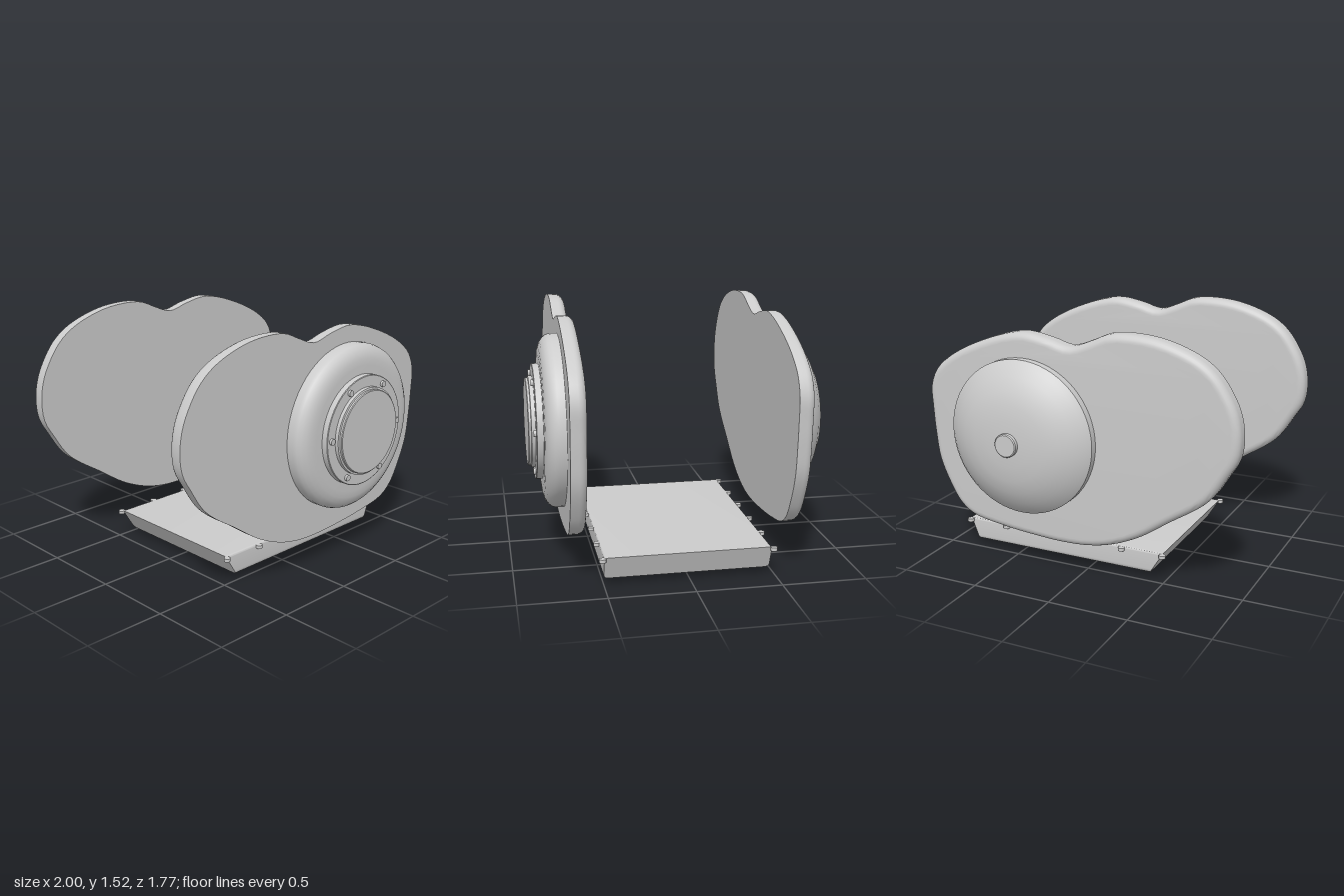
import * as THREE from 'three';
import { mergeVertices, toCreasedNormals } from 'three/addons/utils/BufferGeometryUtils.js';

const metal = new THREE.MeshStandardMaterial({ color: 0xcccccc });
metal.name = 'light grey metal';

// Axis of the round covers
const CX = 0.33, CY = 0.86;

function add(parent, name, geometry, x = 0, y = 0, z = 0) {
  const mesh = new THREE.Mesh(geometry, metal);
  mesh.name = name;
  mesh.position.set(x, y, z);
  parent.add(mesh);
  return mesh;
}

// Lathe from [radius, height] pairs, ordered upwards, turned so its axis is +z
function turned(profile, segments = 64) {
  const pts = profile.map(([r, h]) => new THREE.Vector2(r, h));
  const g = new THREE.LatheGeometry(pts, segments).rotateX(Math.PI / 2);
  g.deleteAttribute('normal');
  g.deleteAttribute('uv');
  return toCreasedNormals(mergeVertices(g), 0.6);
}

// Two-lobed outline, anticlockwise from the front
const OUTLINE = [
  [-1, 1.0], [-0.985, 0.88], [-0.93, 0.78], [-0.82, 0.62], [-0.58, 0.45], [-0.4, 0.33],
  [-0.23, 0.255], [-0.08, 0.22], [0.1, 0.21], [0.3, 0.22], [0.5, 0.24], [0.73, 0.285],
  [0.82, 0.35], [0.89, 0.46], [0.96, 0.625], [0.985, 0.8], [0.995, 0.95], [0.997, 1.09],
  [0.95, 1.2], [0.86, 1.28], [0.75, 1.345], [0.6, 1.41], [0.45, 1.458], [0.33, 1.476],
  [0.17, 1.452], [0.035, 1.42], [-0.1, 1.465], [-0.2, 1.508], [-0.31, 1.522], [-0.52, 1.505],
  [-0.74, 1.43], [-0.85, 1.35], [-0.93, 1.24], [-0.98, 1.13],
];

// Plate with a flat front at z = 0 and a rounded rim at the back
function plateGeometry(depth = 0.095, round = 0.045) {
  const curve = new THREE.CatmullRomCurve3(OUTLINE.map(([x, y]) => new THREE.Vector3(x, y, 0)), true);
  const n = 140, pos = [], idx = [];
  const rim = curve.getSpacedPoints(n).slice(0, n);
  const normals = rim.map((p, i) => {
    const t = rim[(i + 1) % n].clone().sub(rim[(i + n - 1) % n]).normalize();
    return new THREE.Vector2(t.y, -t.x);
  });
  const rings = [[0, 0]];
  for (let k = 0; k <= 6; k++) {
    const a = (k / 6) * Math.PI / 2;
    rings.push([round * (1 - Math.cos(a)), -(depth - round) - round * Math.sin(a)]);
  }
  const ringPoints = (inset) => rim.map((p, i) =>
    new THREE.Vector2(p.x - normals[i].x * inset, p.y - normals[i].y * inset));
  rings.forEach(([inset, z]) => ringPoints(inset).forEach((p) => pos.push(p.x, p.y, z)));
  for (let k = 0; k < rings.length - 1; k++) {
    for (let i = 0; i < n; i++) {
      const j = (i + 1) % n, a = k * n + i, b = k * n + j;
      idx.push(a, a + n, b, b, a + n, b + n);
    }
  }
  // Flat front and back caps
  const last = (rings.length - 1) * n;
  THREE.ShapeUtils.triangulateShape(ringPoints(0), []).forEach(([a, b, c]) => idx.push(a, b, c));
  THREE.ShapeUtils.triangulateShape(ringPoints(round), []).forEach(([a, b, c]) =>
    idx.push(last + a, last + c, last + b));
  const g = new THREE.BufferGeometry();
  g.setAttribute('position', new THREE.Float32BufferAttribute(pos, 3));
  g.setIndex(idx);
  return toCreasedNormals(g, 0.7);
}

// Tray: rounded section across z, tapering in x towards the bottom
function trayGeometry() {
  const z0 = -0.475, z1 = 0.5, y0 = 0.038, y1 = 0.18, r = 0.028;
  const s = new THREE.Shape();
  s.moveTo(-z1 + r, y0);
  s.lineTo(-z0 - r, y0);
  s.quadraticCurveTo(-z0, y0, -z0, y0 + r);
  s.lineTo(-z0, y1 - r / 2);
  s.quadraticCurveTo(-z0, y1, -z0 - r / 2, y1);
  s.lineTo(-z1 + r / 2, y1);
  s.quadraticCurveTo(-z1, y1, -z1, y1 - r / 2);
  s.lineTo(-z1, y0 + r);
  s.quadraticCurveTo(-z1, y0, -z1 + r, y0);
  const g = new THREE.ExtrudeGeometry(s, { depth: 1, bevelEnabled: false, curveSegments: 6 });
  g.rotateY(Math.PI / 2);
  const p = g.attributes.position;
  for (let i = 0; i < p.count; i++) {
    const t = (p.getY(i) - y0) / (y1 - y0);
    const left = THREE.MathUtils.lerp(-0.4, -0.487, t);
    const right = THREE.MathUtils.lerp(0.805, 0.86, t);
    p.setX(i, THREE.MathUtils.lerp(left, right, p.getX(i)));
  }
  return toCreasedNormals(g, 0.6);
}

export function createModel() {
  const model = new THREE.Group();
  model.name = 'engineCovers';
  const plate = plateGeometry();

  // Front cover: plate, round housing, ring, cap and six bolts
  const front = new THREE.Group();
  front.name = 'frontCover';
  model.add(front);
  add(front, 'frontPlate', plate, 0, 0, 0.69);
  add(front, 'roundHousing', turned([
    [0.513, 0.68], [0.513, 0.735], [0.506, 0.757], [0.49, 0.776], [0.465, 0.793],
    [0.43, 0.803], [0.39, 0.806], [0, 0.806],
  ]), CX, CY);
  add(front, 'clampRing', turned([[0.34, 0.8], [0.34, 0.842], [0.336, 0.845], [0, 0.845]]), CX, CY);
  add(front, 'centreCap', turned([
    [0.27, 0.84], [0.27, 0.868], [0.258, 0.87], [0.258, 0.882], [0.253, 0.886], [0, 0.886],
  ]), CX, CY);
  const ringBolt = turned([[0.019, 0.84], [0.019, 0.86], [0, 0.86]], 16);
  for (let i = 0; i < 6; i++) {
    const a = (i * Math.PI) / 3;
    add(front, 'ringBolt', ringBolt, CX + 0.302 * Math.cos(a), CY + 0.302 * Math.sin(a));
  }

  // Rear cover: plate, dome and knob
  const rear = new THREE.Group();
  rear.name = 'rearCover';
  model.add(rear);
  add(rear, 'rearPlate', plate, 0, 0, -0.568);
  add(rear, 'dome', turned([
    [0.47, 0.655], [0.47, 0.71], [0.44, 0.74], [0.385, 0.78], [0.31, 0.82],
    [0.23, 0.843], [0.14, 0.856], [0, 0.86],
  ]), CX, CY).rotation.y = Math.PI;
  add(rear, 'domeKnob', turned([[0.07, 0.85], [0.07, 0.88], [0.064, 0.886], [0, 0.886]], 32), CX, CY)
    .rotation.y = Math.PI;

  // Bottom tray with drain plug and edge bolts
  const pan = new THREE.Group();
  pan.name = 'bottomPan';
  model.add(pan);
  add(pan, 'tray', trayGeometry());
  add(pan, 'drainPlug', toCreasedNormals(new THREE.CylinderGeometry(0.043, 0.043, 0.044, 6), 0.5),
    0.185, 0.022, 0.013);
  const edgeBolt = new THREE.CylinderGeometry(0.02, 0.02, 0.02, 16);
  for (const z of [0.51, -0.487]) {
    for (let i = 0; i < 6; i++) add(pan, 'edgeBolt', edgeBolt, -0.487 + i * 0.269, 0.167, z);
  }
  return model;
}
